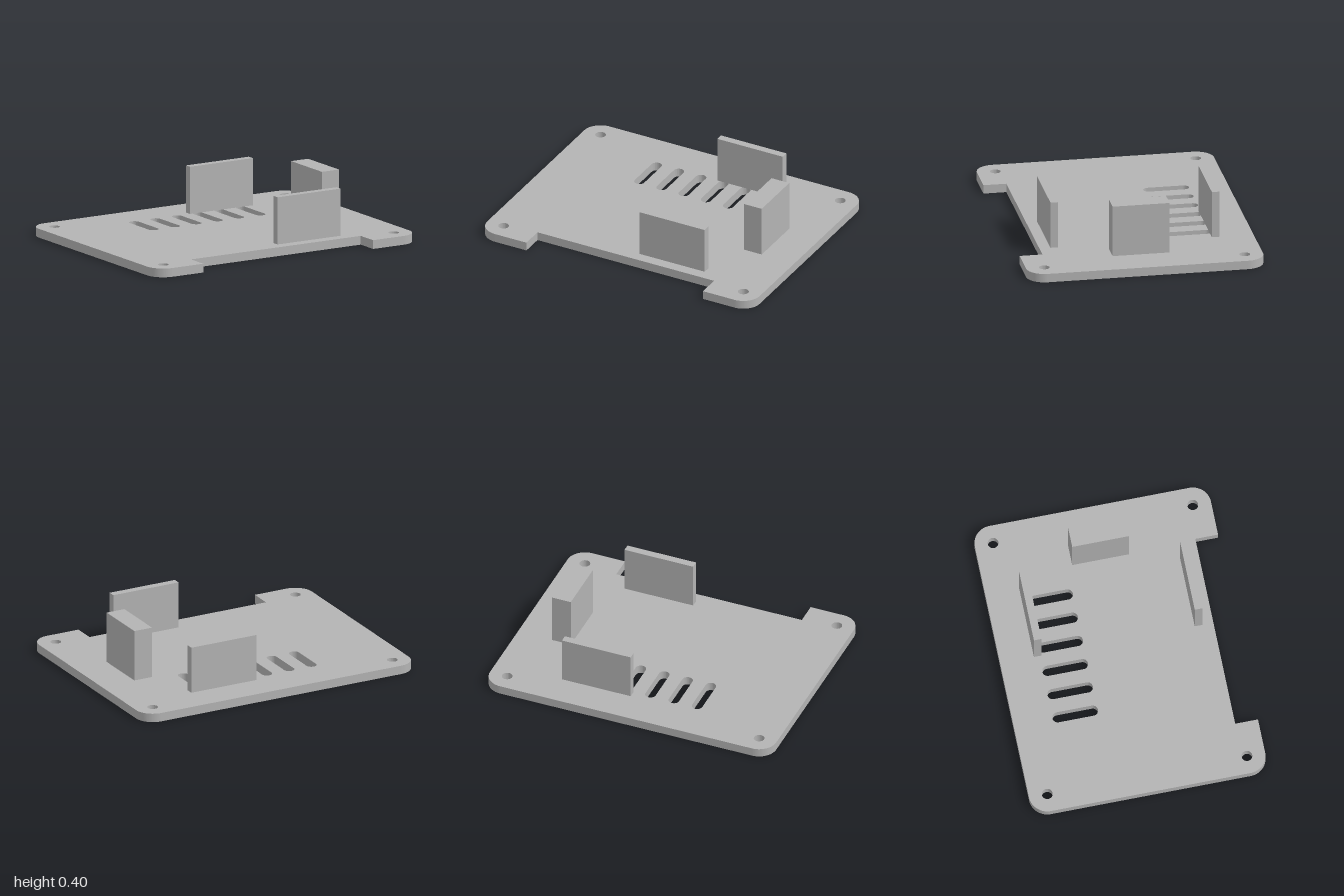
import * as THREE from 'three';
import { toCreasedNormals } from 'three/addons/utils/BufferGeometryUtils.js';

const W = 1, D = 0.778, T = 0.058;   // half width, half depth, plate thickness
const R = 0.12;                      // corner radius
const NOTCH_X = 0.648, NOTCH_Z = 0.628;

// Plate outline, drawn with shape y as world z
function plateShape() {
  const s = new THREE.Shape();
  s.moveTo(-W + R, -D);
  s.lineTo(W - R, -D);
  s.absarc(W - R, -D + R, R, -Math.PI / 2, 0, false);
  s.lineTo(W, D - R);
  s.absarc(W - R, D - R, R, 0, Math.PI / 2, false);
  // connector notch in the front edge
  s.lineTo(NOTCH_X, D);
  s.lineTo(NOTCH_X, NOTCH_Z);
  s.lineTo(-NOTCH_X, NOTCH_Z);
  s.lineTo(-NOTCH_X, D);
  s.lineTo(-W + R, D);
  s.absarc(-W + R, D - R, R, Math.PI / 2, Math.PI, false);
  s.lineTo(-W, -D + R);
  s.absarc(-W + R, -D + R, R, Math.PI, Math.PI * 1.5, false);

  // screw holes
  for (const x of [-0.88, 0.88]) {
    for (const z of [-0.658, 0.658]) {
      s.holes.push(new THREE.Path().absarc(x, z, 0.035, 0, Math.PI * 2, true));
    }
  }
  // vent slots with rounded ends
  const r = 0.035, z0 = -0.522 + r, z1 = -0.222 - r;
  for (let i = 0; i < 6; i++) {
    const x = -0.377 + i * 0.163;
    const slot = new THREE.Path();
    slot.moveTo(x - r, z0);
    slot.lineTo(x - r, z1);
    slot.absarc(x, z1, r, Math.PI, 0, true);
    slot.lineTo(x + r, z0);
    slot.absarc(x, z0, r, 0, -Math.PI, true);
    s.holes.push(slot);
  }
  return s;
}

export function createModel() {
  const group = new THREE.Group();
  const grey = new THREE.MeshStandardMaterial({ color: 0xb3b3b3 });
  grey.name = 'grey plastic';

  function add(name, geometry) {
    const mesh = new THREE.Mesh(geometry, grey);
    mesh.name = name;
    group.add(mesh);
    return mesh;
  }

  // base plate
  const plate = new THREE.ExtrudeGeometry(plateShape(), { depth: T, bevelEnabled: false, curveSegments: 16 });
  plate.rotateX(Math.PI / 2).translate(0, T, 0);
  add('basePlate', toCreasedNormals(plate, 0.6));

  // uprights standing on the plate
  function upright(name, x, z, width, depth, top) {
    add(name, new THREE.BoxGeometry(width, top - T, depth)).position.set(x, (top + T) / 2, z);
  }
  upright('backWall', 0.3, -0.53, 0.48, 0.05, 0.37);
  upright('frontWall', 0.3, 0.53, 0.48, 0.05, 0.37);
  upright('endBlock', 0.695, 0, 0.13, 0.374, 0.4);

  return group;
}
